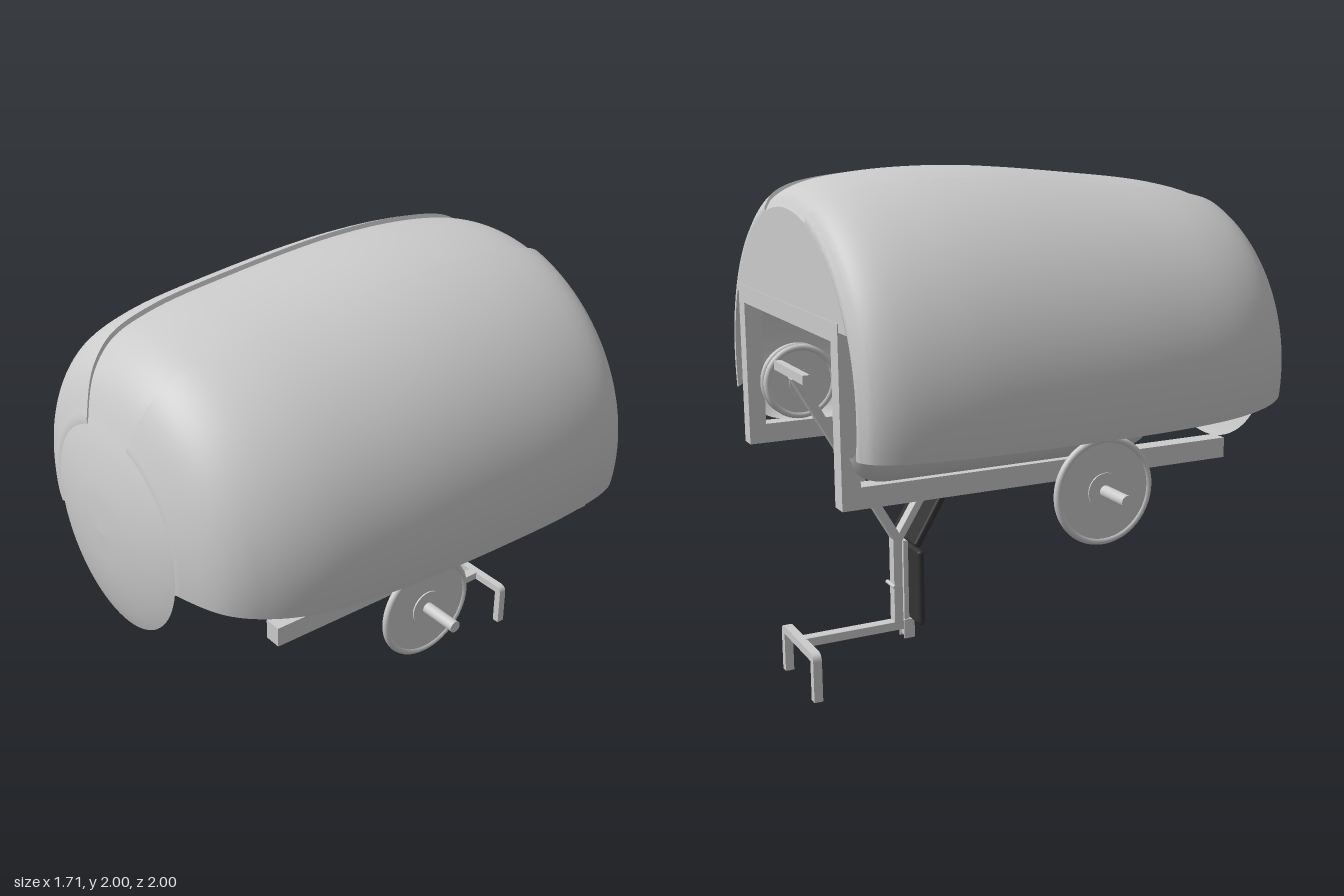
import * as THREE from 'three';
import { toCreasedNormals } from 'three/addons/utils/BufferGeometryUtils.js';
import { RoundedBoxGeometry } from 'three/addons/geometries/RoundedBoxGeometry.js';

const grey = new THREE.MeshStandardMaterial({ color: 0xcccccc });
const sheet = new THREE.MeshStandardMaterial({ color: 0xcccccc, side: THREE.DoubleSide });
const dark = new THREE.MeshStandardMaterial({ color: 0x333333 });

// Shell stations: z, half width, top height
const stations = [
  [-0.985, 0.69, 1.86], [-0.95, 0.74, 1.91], [-0.87, 0.78, 1.95], [-0.65, 0.815, 1.985], [-0.3, 0.825, 1.995],
  [0.2, 0.81, 1.955], [0.56, 0.76, 1.91], [0.75, 0.68, 1.855], [0.86, 0.575, 1.76], [0.935, 0.41, 1.59],
  [0.965, 0.31, 1.49], [0.988, 0.18, 1.37], [1.0, 0.0005, 1.2005],
];
const spine = new THREE.CatmullRomCurve3(stations.map(([z, w, t]) => new THREE.Vector3(z, w, t)));
const NOSE = 9 / 12; // from here on a lip closes the lower front
const AXIS_Y = 1.2;

// Point on the shell: u along the length, angle around it, off = raised thickness
function shellPoint(u, angle, off = 0) {
  const s = spine.getPoint(u);
  const up = Math.sin(angle) > 0 ? s.z - AXIS_Y : s.y;
  const cx = -0.018 * Math.min(1, Math.max(0, (1 - s.x) * 4));
  return new THREE.Vector3(
    cx + (s.y + off) * Math.cos(angle), AXIS_Y + (up + off) * Math.sin(angle), s.x);
}

// How far the open shell hangs below its axis, as an angle
function hang(u) {
  const s = spine.getPoint(Math.min(u, NOSE));
  const edge = 1.065 + 0.06 * Math.max(0, s.x) ** 3;
  return Math.asin((AXIS_Y - edge) / s.y);
}

// Surface from a rule f(i / nu, j / nv, i, j)
function surface(nu, nv, f) {
  const pos = [], index = [];
  for (let i = 0; i <= nu; i++)
    for (let j = 0; j <= nv; j++) pos.push(...f(i / nu, j / nv, i, j).toArray());
  for (let i = 0; i < nu; i++)
    for (let j = 0; j < nv; j++) {
      const a = i * (nv + 1) + j, b = a + nv + 1;
      index.push(a, a + 1, b, b, a + 1, b + 1);
    }
  const g = new THREE.BufferGeometry();
  g.setAttribute('position', new THREE.Float32BufferAttribute(pos, 3));
  g.setIndex(index);
  return toCreasedNormals(g, 0.7);
}

export function createModel() {
  const model = new THREE.Group();

  function add(name, geometry, material = grey, x = 0, y = 0, z = 0, parent = model) {
    const m = new THREE.Mesh(geometry, material);
    m.name = name;
    m.position.set(x, y, z);
    parent.add(m);
    return m;
  }
  const box = (name, w, h, d, x, y, z) => add(name, new THREE.BoxGeometry(w, h, d), grey, x, y, z);

  // Straight bar between two points [y, z] of the plane at x
  function bar(name, x, w, t, [y1, z1], [y2, z2], mat = grey, round = 0.002) {
    const len = Math.hypot(y2 - y1, z2 - z1);
    const g = new RoundedBoxGeometry(w, t, len, 2, round);
    add(name, g, mat, x, (y1 + y2) / 2, (z1 + z2) / 2).lookAt(x, y2, z2);
  }
  // Rod lying along x
  function rod(name, r, x1, x2, y, z, parent = model) {
    const g = new THREE.CylinderGeometry(r, r, Math.abs(x2 - x1), 32).rotateZ(Math.PI / 2);
    add(name, g, grey, (x1 + x2) / 2, y, z, parent);
  }

  // Shell core, open underneath, running smoothly over the nose
  add('shell', surface(96, 72, (u, b) => {
    const h = hang(u);
    return shellPoint(u, -h + b * (Math.PI + 2 * h));
  }), sheet);

  // Lip that hangs below the nose
  const lipHang = hang(NOSE);
  add('noseLip', surface(24, 40, (a, b) =>
    shellPoint(NOSE + a * (1 - NOSE), Math.PI + lipHang + b * (Math.PI - 2 * lipHang))), sheet);

  // Raised side panels, with their edges turned in to the core
  function sidePanel(name, edgeAngle, left) {
    const nu = 72, nv = 36;
    add(name, surface(nu, nv, (a, b, i, j) => {
      const rim = i === 0 || i === nu || j === 0 || j === nv;
      const ca = Math.min(Math.max((i - 1) / (nu - 2), 0), 1);
      const cb = Math.min(Math.max((j - 1) / (nv - 2), 0), 1);
      const u = ca * NOSE, h = hang(u);
      const low = left ? -h : Math.PI + h;
      const fade = left ? Math.min(1, (1 - ca) * 8) : 1; // the left one runs out flush at the nose
      return shellPoint(u, low + (edgeAngle - low) * cb, rim ? 0 : 0.001 + 0.017 * fade);
    }), sheet);
  }
  sidePanel('leftPanel', THREE.MathUtils.degToRad(72), true);
  sidePanel('rightPanel', THREE.MathUtils.degToRad(110), false);

  // Rear bulkhead above the opening
  const start = Math.asin((1.48 - AXIS_Y) / 0.66);
  const arc = [];
  for (let k = 0; k <= 40; k++) {
    const p = shellPoint(0, start + (k / 40) * (Math.PI - 2 * start));
    arc.push(new THREE.Vector2(p.x, p.y));
  }
  add('bulkhead', new THREE.ExtrudeGeometry(new THREE.Shape(arc), { depth: 0.02, bevelEnabled: false }), grey, 0, 0, -0.987);

  // Chassis beams, rear posts and top rail
  for (const x of [-0.53, 0.54]) {
    box('chassisBeam', 0.07, 0.08, 1.61, x, 0.89, -0.185);
    box('rearPost', 0.07, 0.6, 0.07, x, 1.2, -0.955);
  }
  box('rearRail', 1.14, 0.07, 0.07, 0.005, 1.475, -0.955);

  // Curved inner liners below the shell
  for (const side of [-1, 1]) {
    add('innerLiner', surface(48, 16, (a, b) => {
      const z = 0.25 - a * 1.21;
      const end = Math.max(0, 1 - Math.min(0.25 - z, z + 0.96) / 0.14);
      const low = 0.937 + 0.1 * (1 - Math.sqrt(1 - end * end));
      const t = b * Math.PI / 2;
      return new THREE.Vector3(
        side * (0.54 + 0.16 * Math.sin(t)) - 0.005, low + (1.25 - low) * (1 - Math.cos(t)), z);
    }), sheet);
  }

  // Thin wheel with a rounded tyre and a hub
  function wheel(name, r, x, y, z) {
    const g = new THREE.Group();
    g.name = name;
    g.position.set(x, y, z);
    model.add(g);
    add('tyre', new THREE.TorusGeometry(r - 0.014, 0.014, 12, 56).rotateY(Math.PI / 2), grey, 0, 0, 0, g);
    rod('disc', r - 0.012, -0.008, 0.008, 0, 0, g);
    rod('hub', r / 3, -0.014, 0.014, 0, 0, g);
  }
  const wheelY = 0.822, mid = 0.006;
  rod('axle', 0.013, -0.7, 0.7, wheelY, 0);
  for (const side of [-1, 1]) {
    wheel('roadWheel', 0.21, mid + side * 0.675, wheelY, 0);
    rod('innerHub', 0.037, mid + side * 0.615, mid + side * 0.67, wheelY, 0);
    rod('axleEnd', 0.023, mid + side * 0.67, mid + side * 0.845, wheelY, 0);
    // Spare wheels stored inside, two discs each
    for (const [r, y, z] of [[0.2, 1.14, -0.42], [0.155, 1.11, -0.79]]) {
      wheel('spareWheel', r, side * 0.435, y, z);
      wheel('spareWheel', r, side * 0.48, y, z);
      rod('spareAxle', 0.02, side * 0.38, side * 0.54, y, z);
    }
  }

  // Seat underside, sloping pad and upright pad
  const cx = -0.037, padW = 0.235;
  add('seatUnderside', new THREE.PlaneGeometry(0.39, 0.36).rotateX(Math.PI / 2), dark, cx, 1.135, -0.5);
  bar('slopingPad', cx, padW, 0.03, [1.12, -0.18], [0.53, -0.535], dark, 0.01);
  add('uprightPad', new RoundedBoxGeometry(padW, 0.31, 0.028, 2, 0.013), dark, cx, 0.355, -0.517);

  // Forked support, post and upper handle
  bar('padArm', cx, 0.045, 0.03, [1.12, -0.205], [0.54, -0.57]);
  bar('rearArm', cx, 0.045, 0.035, [1.235, -0.975], [0.54, -0.575]);
  box('upperHandle', 0.33, 0.035, 0.03, cx, 1.25, -0.98);
  const strut = new THREE.CatmullRomCurve3(
    [[0.83, -0.39], [0.86, -0.5], [0.92, -0.78]].map(([y, z]) => new THREE.Vector3(cx, y, z)));
  add('armStrut', new THREE.TubeGeometry(strut, 16, 0.007, 8), grey);
  box('post', 0.045, 0.38, 0.036, cx, 0.37, -0.578);
  box('padBacking', 0.04, 0.4, 0.02, cx, 0.33, -0.543);
  for (const dx of [-0.022, 0.022]) box('prong', 0.008, 0.08, 0.045, cx + dx, 0.16, -0.535);
  rod('postBolt', 0.008, cx - 0.04, cx + 0.04, 0.35, -0.6);

  // Foot rail and its downturned end
  bar('footRail', cx, 0.045, 0.036, [0.178, -0.515], [0.178, -0.97]);
  const foot = new THREE.Shape();
  const w = 0.187, t = 0.033, top = 0.193, r = 0.035;
  foot.moveTo(-w, 0);
  foot.lineTo(-w, top - r);
  foot.quadraticCurveTo(-w, top, -w + r, top);
  foot.lineTo(w - r, top);
  foot.quadraticCurveTo(w, top, w, top - r);
  foot.lineTo(w, 0);
  foot.lineTo(w - t, 0);
  foot.lineTo(w - t, top - t);
  foot.lineTo(-w + t, top - t);
  foot.lineTo(-w + t, 0);
  add('foot', new THREE.ExtrudeGeometry(foot, { depth: 0.035, bevelEnabled: false }), grey, cx, 0, -1);

  return model;
}
